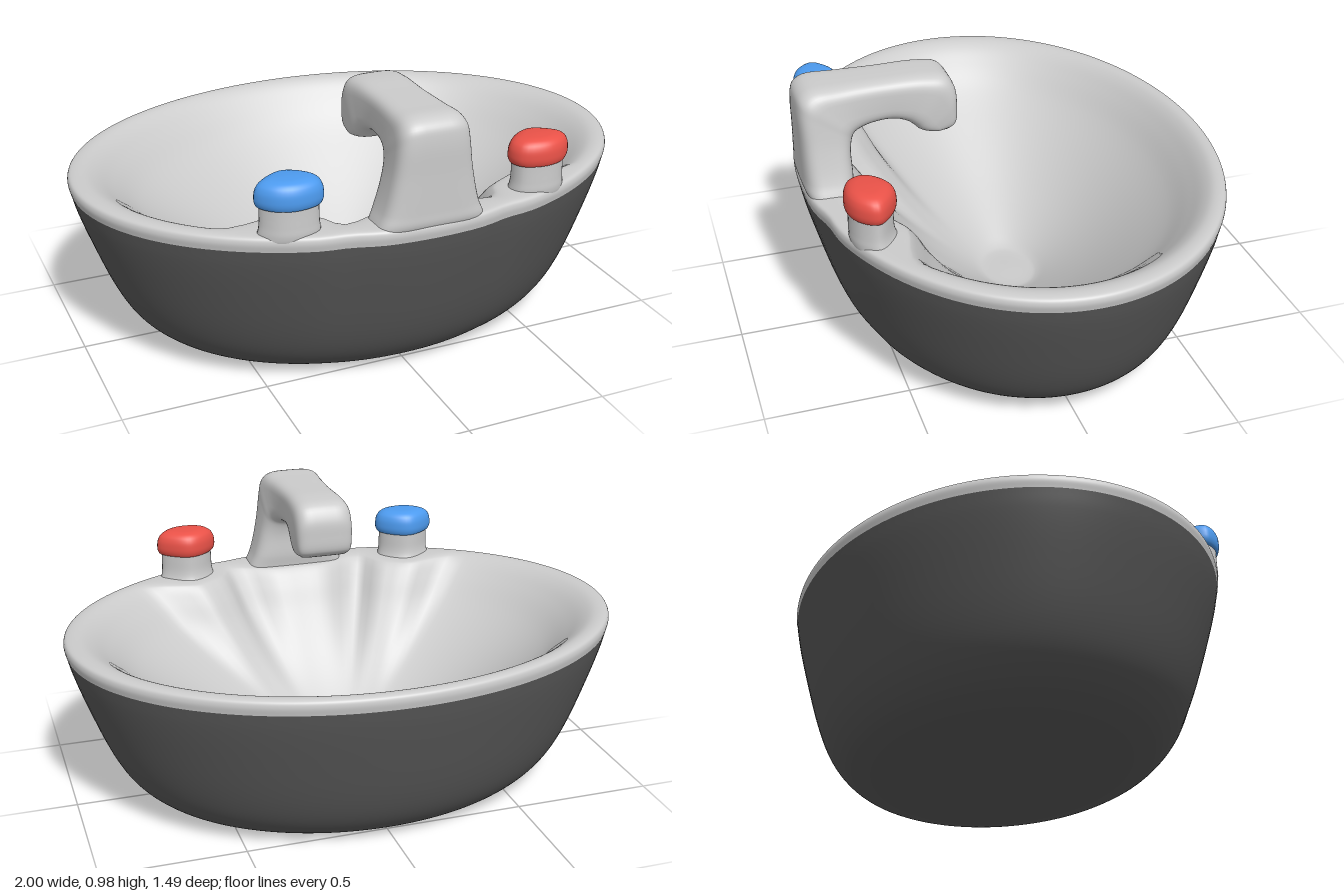
import * as THREE from 'three';
import { mergeVertices } from 'three/addons/utils/BufferGeometryUtils.js';

const DEPTH = 0.745; // basin depth relative to its width
const V = (x, y, z) => new THREE.Vector3(x, y, z);
const spline = pts => new THREE.CatmullRomCurve3(pts, false, 'centripetal');
const bump = (x, width) => Math.exp(-((x / width) ** 4));

function makeMesh(name, geometry, color = 0xcccccc) {
  const mesh = new THREE.Mesh(geometry, new THREE.MeshStandardMaterial({ color }));
  mesh.name = name;
  return mesh;
}

// Skin over closed rings of points, with a centre point closing each end
function loft(rings) {
  const n = rings[0].length, pos = [], index = [];
  rings.forEach(ring => ring.forEach(p => pos.push(p.x, p.y, p.z)));
  for (let i = 0; i < rings.length - 1; i++) {
    for (let j = 0; j < n; j++) {
      const k = (j + 1) % n, a = i * n + j, b = i * n + k;
      index.push(a, b, a + n, b, b + n, a + n);
    }
  }
  [0, rings.length - 1].forEach(i => {
    const c = V(0, 0, 0);
    rings[i].forEach(p => c.addScaledVector(p, 1 / n));
    const ci = pos.length / 3;
    pos.push(c.x, c.y, c.z);
    for (let j = 0; j < n; j++) {
      const a = i * n + j, b = i * n + (j + 1) % n;
      if (i) index.push(a, b, ci); else index.push(b, a, ci);
    }
  });
  const g = new THREE.BufferGeometry();
  g.setAttribute('position', new THREE.Float32BufferAttribute(pos, 3));
  g.setIndex(index);
  g.computeVertexNormals();
  return g;
}

// Shallow dips in the front edge between the spout and the taps
function frontDip(x, z, r) {
  return z > 0 ? 0.012 * Math.exp(-(((Math.abs(x) - 0.28) / 0.07) ** 2)) * r ** 6 : 0;
}

// Inner wall pushed in at the front to carry the spout and the taps
function ledgeScale(x, z, r) {
  if (z <= 0 || r < 0.01) return 1;
  const lipX = Math.abs(x / r) * 0.92, lipZ = (z / r) * 0.92 * DEPTH;
  const push = 0.12 * bump(lipX, 0.24) + 0.1 * bump(lipX - 0.45, 0.14);
  const fade = THREE.MathUtils.smoothstep(r, 0.2, 0.9) * (1 - THREE.MathUtils.smoothstep(r, 0.92, 0.985));
  return 1 - (push / Math.max(lipZ, 0.3)) * fade;
}

// Lathe squashed to an oval; the bowl also gets the front ledges
function oval(profile, samples, ledges) {
  const curve = spline(profile.map(([r, y]) => V(r, y, 0)));
  const pts = curve.getPoints(samples).map(p => new THREE.Vector2(Math.max(p.x, 0), p.y));
  let g = new THREE.LatheGeometry(pts, 144);
  g.deleteAttribute('uv');
  g.deleteAttribute('normal');
  const p = g.attributes.position;
  for (let i = 0; i < p.count; i++) {
    const x = p.getX(i), z = p.getZ(i), r = Math.hypot(x, z);
    const s = ledges ? ledgeScale(x, z, r) : 1;
    p.setX(i, x * s);
    p.setZ(i, z * s * DEPTH - frontDip(x, z, r) - 0.02 * Math.max(0, 1 - r));
  }
  g = mergeVertices(g, 1e-5);
  g.computeVertexNormals();
  return g;
}

// Spout: rounded sections from the outer edge to the inner edge of its side outline
function spoutGeometry() {
  // outer z, outer y, inner z, inner y, half width
  const stations = [
    [0.68, 0.50, 0.60, 0.50, 0.19], [0.73, 0.59, 0.58, 0.58, 0.198],
    [0.744, 0.62, 0.575, 0.62, 0.185], [0.745, 0.66, 0.57, 0.66, 0.168],
    [0.745, 0.78, 0.57, 0.74, 0.142], [0.745, 0.90, 0.56, 0.785, 0.128],
    [0.735, 0.945, 0.55, 0.80, 0.124], [0.70, 0.97, 0.53, 0.81, 0.117],
    [0.60, 0.973, 0.49, 0.82, 0.107], [0.45, 0.973, 0.42, 0.822, 0.10],
    [0.30, 0.972, 0.37, 0.805, 0.105], [0.225, 0.957, 0.345, 0.785, 0.109],
    [0.194, 0.91, 0.33, 0.77, 0.109], [0.188, 0.85, 0.31, 0.762, 0.107],
    [0.192, 0.79, 0.285, 0.76, 0.10], [0.215, 0.765, 0.265, 0.759, 0.085],
  ];
  const outer = spline(stations.map(s => V(s[4], s[1], s[0])));
  const inner = spline(stations.map(s => V(s[4], s[3], s[2])));
  const steps = 75, sides = 48, rings = [];
  const round = v => Math.sign(v) * Math.abs(v) ** 0.5;
  for (let i = 0; i <= steps; i++) {
    const o = outer.getPoint(i / steps), e = inner.getPoint(i / steps);
    const width = o.x;
    o.x = e.x = 0;
    const c = o.clone().add(e).multiplyScalar(0.5);
    e.sub(c);
    rings.push(Array.from({ length: sides }, (_, j) => {
      const t = (j / sides) * Math.PI * 2;
      return c.clone().addScaledVector(e, round(Math.sin(t))).add(V(width * round(Math.cos(t)), 0, 0));
    }));
  }
  return loft(rings);
}

// Tap part: lopsided rounded outline stacked in levels of [y, scale, z shift]
function tapGeometry(side, levels) {
  const outline = new THREE.CatmullRomCurve3([
    V(0.115, 0, -0.006), V(0.065, 0, -0.062), V(0, 0, -0.088), V(-0.065, 0, -0.06),
    V(-0.11, 0, 0), V(-0.09, 0, 0.056), V(0, 0, 0.081), V(0.075, 0, 0.055),
  ], true).getPoints(40).slice(0, -1);
  const loop = outline.map(p => V(p.x * side, 0, p.z));
  if (side < 0) loop.reverse();
  const curve = spline(levels.map(([y, s, z]) => V(s, y, z || 0)));
  return loft(curve.getPoints(36).map(l =>
    loop.map(p => V(side * 0.445 + p.x * l.x, l.y, 0.592 + l.z + p.z * l.x))));
}

export function createModel() {
  const model = new THREE.Group();
  model.name = 'washbasin';

  // Dark outer shell with a flat underside
  model.add(makeMesh('outerShell', oval([
    [0, 0], [0.3, 0], [0.55, 0], [0.64, 0.006], [0.71, 0.025], [0.77, 0.065],
    [0.82, 0.12], [0.87, 0.21], [0.94, 0.39], [0.98, 0.51], [0.995, 0.57],
  ], 50, false), 0x585858));

  // Rolled rim running into the funnel-shaped bowl and its flat drain
  model.add(makeMesh('rimAndBowl', oval([
    [0.995, 0.568], [1, 0.595], [0.994, 0.612], [0.975, 0.619], [0.94, 0.617],
    [0.90, 0.598], [0.84, 0.55], [0.75, 0.47], [0.6, 0.362], [0.4, 0.232],
    [0.2, 0.118], [0.145, 0.09], [0.12, 0.083], [0, 0.083],
  ], 80, true)));

  model.add(makeMesh('spout', spoutGeometry()));

  // Tap on each side: grey post with a coloured cap
  [[-1, 'right', 0x4d9bef], [1, 'left', 0xea5248]].forEach(([side, name, color]) => {
    const tap = new THREE.Group();
    tap.name = name + 'Tap';
    tap.add(makeMesh('post', tapGeometry(side, [
      [0.55, 0.95, -0.035], [0.59, 0.97, -0.016], [0.62, 0.91, -0.003], [0.65, 0.87], [0.69, 0.86], [0.73, 0.86],
    ])));
    tap.add(makeMesh('cap', tapGeometry(side, [
      [0.708, 0.84], [0.716, 0.95], [0.735, 1], [0.755, 0.99], [0.775, 0.93], [0.79, 0.8], [0.799, 0.58], [0.802, 0.3], [0.803, 0.05],
    ]), color));
    model.add(tap);
  });
  return model;
}
